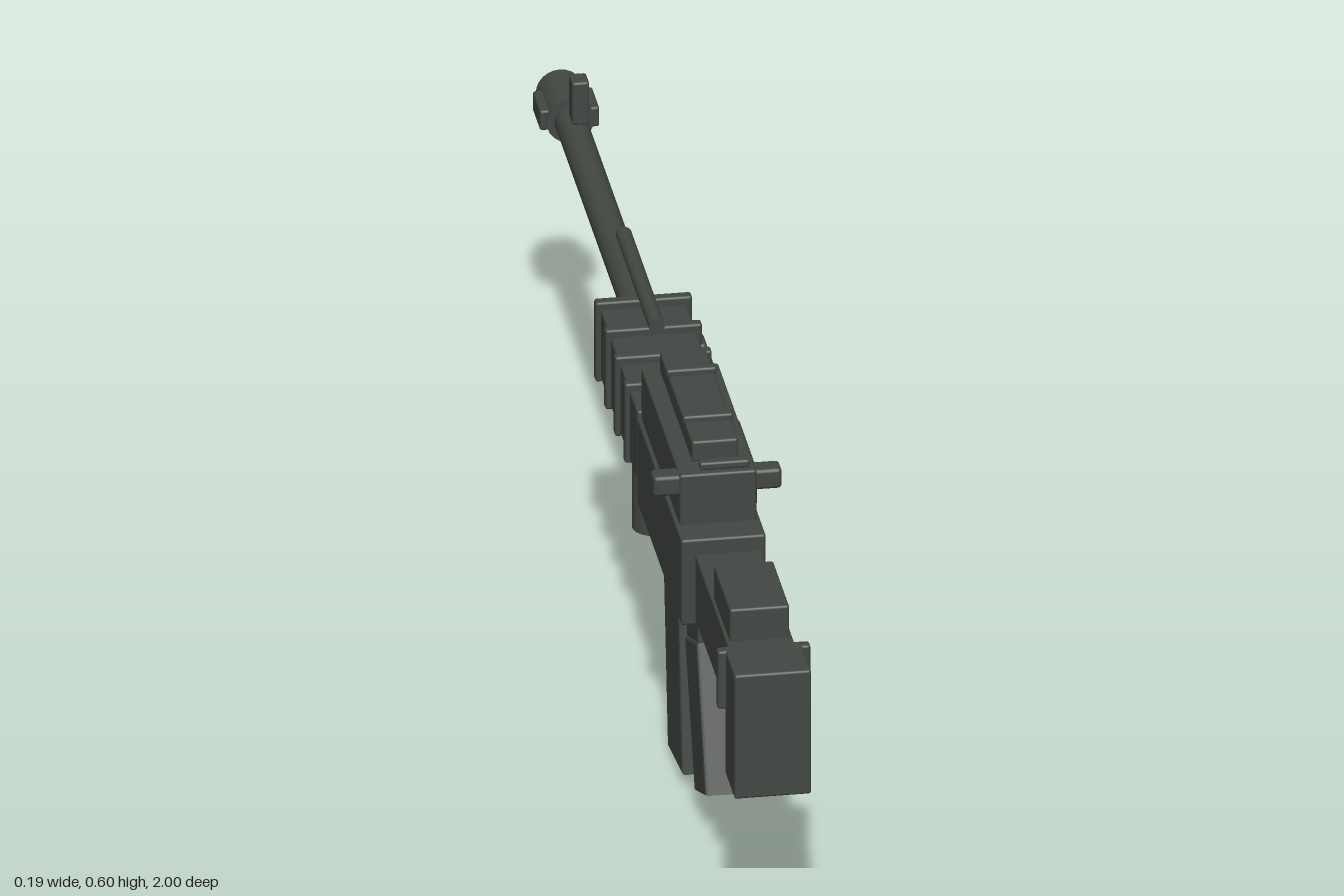
import * as THREE from 'three';
import { RoundedBoxGeometry } from 'three/addons/geometries/RoundedBoxGeometry.js';

export function createModel() {
  const model = new THREE.Group();
  const gunmetal = new THREE.MeshStandardMaterial({ color: 0x434843 });
  gunmetal.name = 'gunmetal';

  function add(name, geometry) {
    const mesh = new THREE.Mesh(geometry, gunmetal);
    mesh.name = name;
    model.add(mesh);
    return mesh;
  }
  // Softly bevelled box given by its limits on each axis
  function box(name, [x0, x1], [y0, y1], [z0, z1], bevel = 0.004) {
    const w = x1 - x0, h = y1 - y0, d = z1 - z0;
    const mesh = add(name, new RoundedBoxGeometry(w, h, d, 2, Math.min(bevel, w / 3, h / 3, d / 3)));
    mesh.position.set((x0 + x1) / 2, (y0 + y1) / 2, (z0 + z1) / 2);
    return mesh;
  }
  // Cylinder lying along z
  function tube(name, radius, y, z0, z1, sides = 24) {
    const mesh = add(name, new THREE.CylinderGeometry(radius, radius, z1 - z0, sides));
    mesh.rotation.x = Math.PI / 2;
    mesh.position.set(0, y, (z0 + z1) / 2);
    return mesh;
  }
  // Side outline of [z, y] points, extruded across x with a small bevel
  function slab(name, points, halfWidth) {
    const b = 0.004;
    const shape = new THREE.Shape(points.map(([z, y]) => new THREE.Vector2(-z, y)));
    const geometry = new THREE.ExtrudeGeometry(shape, {
      depth: 2 * (halfWidth - b), bevelThickness: b, bevelSize: b, bevelOffset: -b, bevelSegments: 2,
    });
    geometry.translate(0, 0, -(halfWidth - b));
    geometry.rotateY(Math.PI / 2);
    return add(name, geometry);
  }

  // Stock
  box('stock', [-0.05, 0.05], [0.36, 0.47], [0.58, 0.92]);
  box('buttPlate', [-0.058, 0.058], [0.27, 0.476], [0.913, 1]);
  box('buttBand', [-0.07, 0.07], [0.38, 0.476], [0.9, 0.918]);
  box('cheekRest', [-0.045, 0.045], [0.465, 0.523], [0.723, 0.875]);

  // Receiver and top cover
  box('receiver', [-0.064, 0.064], [0.33, 0.472], [0.125, 0.537]);
  box('topCover', [-0.058, 0.058], [0.465, 0.555], [0.125, 0.487]);
  box('ejectionPort', [0.055, 0.077], [0.437, 0.5], [0.208, 0.373]);
  box('chargingHandle', [-0.097, 0.097], [0.519, 0.552], [0.45, 0.483], 0.006);

  // Sight rail and its cross ribs
  box('rail', [-0.035, 0.035], [0.561, 0.595], [0.153, 0.458]);
  for (const z of [0.23, 0.385, 0.541]) {
    box('railRib', [-0.038, 0.038], [0.592, 0.605], [z - 0.009, z + 0.009]);
  }

  // Handguard with bands and side vents
  box('handguard', [-0.065, 0.065], [0.37, 0.485], [-0.22, 0.13]);
  for (const z of [0.055, -0.035, -0.125, -0.218]) {
    box('handguardBand', [-0.073, 0.073], [0.366, 0.498], [z - 0.009, z + 0.009]);
  }
  for (const z of [0.065, 0, -0.068, -0.135]) {
    box('sideVent', [0.055, 0.081], [0.435, 0.465], [z - 0.022, z + 0.022], 0.007);
  }
  const foregrip = add('foregrip', new THREE.CylinderGeometry(0.034, 0.034, 0.21, 24));
  foregrip.position.set(0, 0.275, -0.11);

  // Barrel, gas tube and muzzle
  tube('barrel', 0.024, 0.453, -0.91, -0.2);
  tube('gasTube', 0.012, 0.513, -0.4, -0.09, 16);
  tube('muzzle', 0.036, 0.453, -1, -0.9);
  for (const side of [-1, 1]) {
    box('muzzleSlot', [side * 0.035 - 0.01, side * 0.035 + 0.01], [0.437, 0.47], [-0.975, -0.905]);
  }
  box('frontSight', [-0.013, 0.013], [0.495, 0.566], [-0.834, -0.8]);

  // Raked magazine and grip
  slab('magazine', [[0.375, 0.36], [0.236, 0.36], [0.285, 0.003], [0.421, 0.022]], 0.044);
  slab('gripNeck', [[0.518, 0.335], [0.41, 0.335], [0.413, 0.25], [0.52, 0.29]], 0.036);
  slab('grip', [[0.525, 0.293], [0.415, 0.25], [0.505, 0.038], [0.609, 0.08]], 0.039);

  return model;
}
